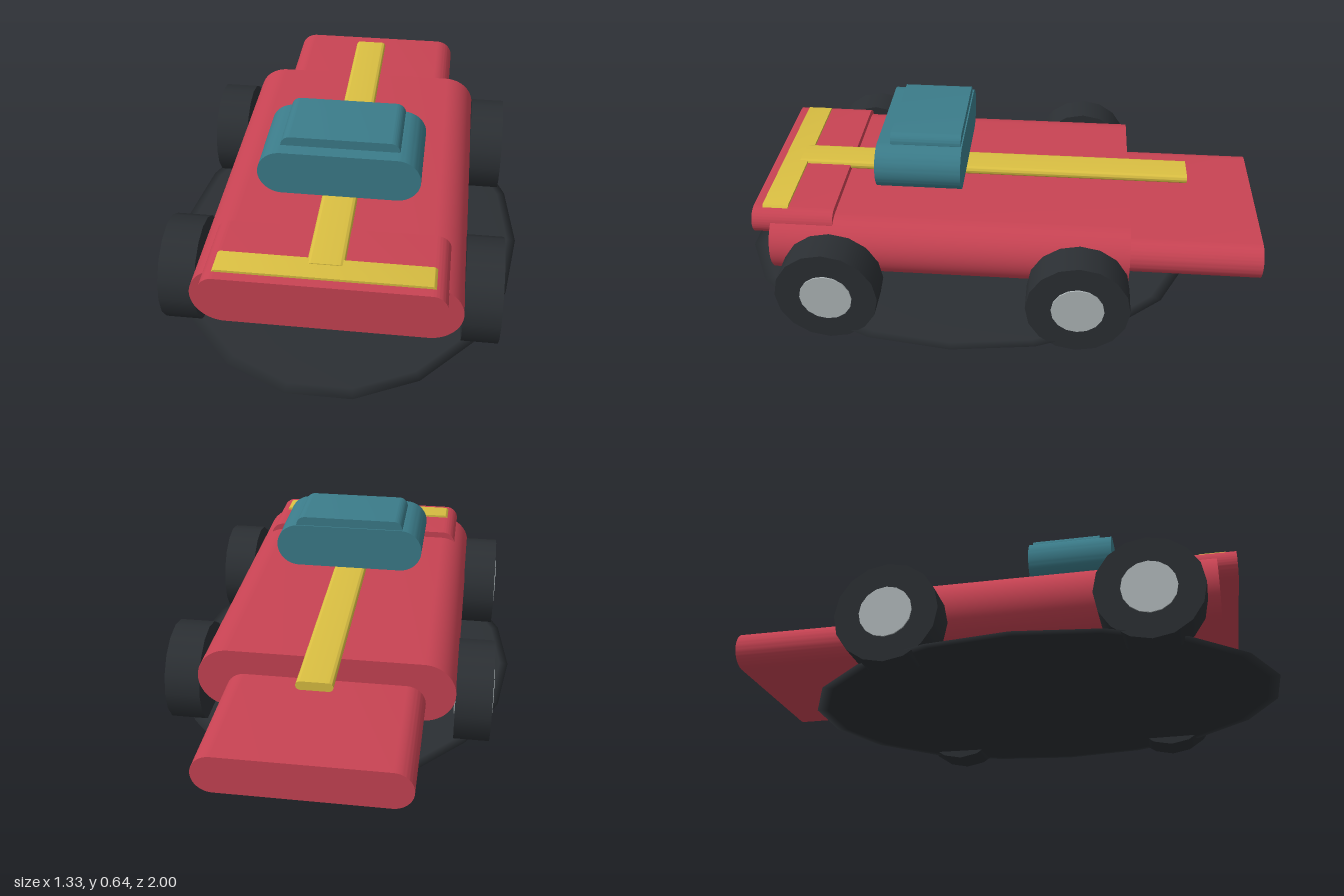
import * as THREE from 'three';
import { toCreasedNormals } from 'three/addons/utils/BufferGeometryUtils.js';

const material = (color) => new THREE.MeshStandardMaterial({ color });
const red = material(0xc84353);
const teal = material(0x3b7c8a);
const yellow = material(0xdabf42);
const rubber = material(0x2b2f33);
const metal = material(0xb0b8ba);

// Bar with fully rounded sides, running along z between two depths
function roundedBar(name, halfWidth, y0, y1, z0, z1, mat) {
  const r = (y1 - y0) / 2;
  const inner = halfWidth - r;
  const shape = new THREE.Shape();
  shape.moveTo(-inner, y0);
  shape.lineTo(inner, y0);
  shape.absarc(inner, y0 + r, r, -Math.PI / 2, Math.PI / 2, false);
  shape.lineTo(-inner, y1);
  shape.absarc(-inner, y0 + r, r, Math.PI / 2, Math.PI * 1.5, false);
  const geometry = new THREE.ExtrudeGeometry(shape, {
    depth: z1 - z0, bevelEnabled: false, curveSegments: 16,
  });
  const mesh = new THREE.Mesh(toCreasedNormals(geometry, 0.6), mat);
  mesh.position.z = z0;
  mesh.name = name;
  return mesh;
}

// Cylinder whose axis lies along x
function xCylinder(name, radius, width, sides, mat) {
  const geometry = new THREE.CylinderGeometry(radius, radius, width, sides).rotateZ(Math.PI / 2);
  const mesh = new THREE.Mesh(geometry, mat);
  mesh.name = name;
  return mesh;
}

function wheel(name, x, z) {
  const group = new THREE.Group();
  group.name = name;
  group.add(xCylinder('tyre', 0.187, 0.13, 16, rubber));
  group.add(xCylinder('hub', 0.095, 0.14, 16, metal));
  group.position.set(x, 0.187, z);
  return group;
}

export function createModel() {
  const car = new THREE.Group();
  car.name = 'car';

  // Body shell, raised nose and low tail
  car.add(roundedBar('body', 0.465, 0.155, 0.387, -0.505, 0.81, red));
  car.add(roundedBar('nose', 0.41, 0.307, 0.412, 0.58, 0.88, red));
  car.add(roundedBar('tail', 0.36, 0.155, 0.295, -1, -0.5, red));

  // Cabin floating above the body, with its roof
  car.add(roundedBar('cabin', 0.29, 0.438, 0.61, 0.12, 0.435, teal));
  car.add(roundedBar('roof', 0.212, 0.574, 0.645, 0.125, 0.385, teal));

  // Stripe along the middle and bar across the nose
  car.add(roundedBar('stripe', 0.064, 0.391, 0.424, -0.725, 0.78, yellow));
  car.add(roundedBar('noseBar', 0.37, 0.391, 0.421, 0.75, 0.845, yellow));

  // Four wheels
  for (const [side, sx] of [['left', 1], ['right', -1]]) {
    car.add(wheel(side + 'FrontWheel', sx * 0.528, 0.58));
    car.add(wheel(side + 'RearWheel', sx * 0.528, -0.325));
  }

  // Flattened oval plate beneath the car
  const plate = new THREE.Mesh(
    new THREE.SphereGeometry(1, 18, 10).scale(0.665, 0.009, 0.889), rubber);
  plate.position.set(0, 0.035, 0.125);
  plate.name = 'basePlate';
  car.add(plate);

  return car;
}
